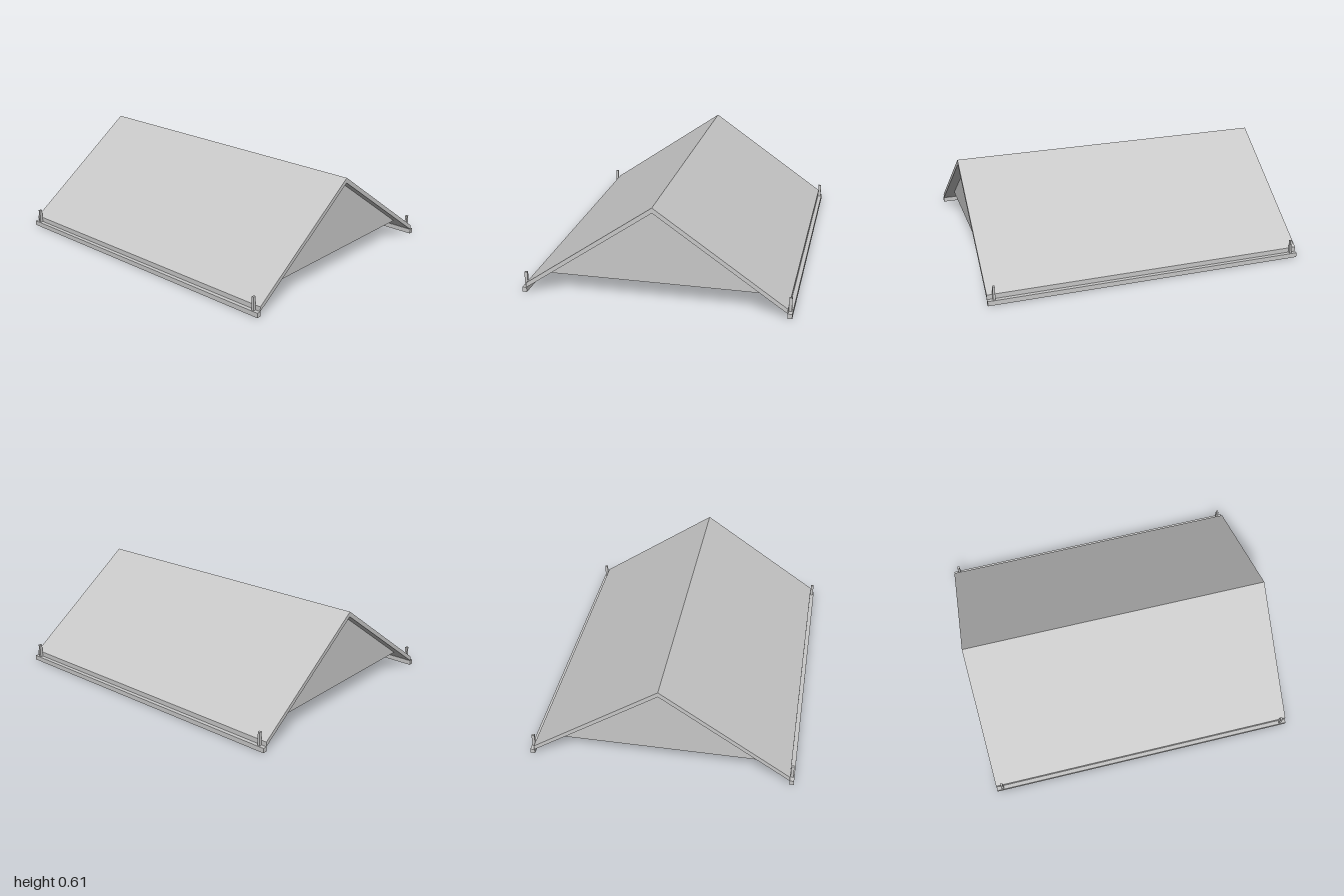
import * as THREE from 'three';

export function createModel() {
  const model = new THREE.Group();
  const grey = new THREE.MeshStandardMaterial({ color: 0xc8c8c8, side: THREE.DoubleSide });
  grey.name = 'lightGrey';

  const add = (name, geometry, x = 0, y = 0, z = 0) => {
    const mesh = new THREE.Mesh(geometry, grey);
    mesh.name = name;
    mesh.position.set(x, y, z);
    model.add(mesh);
    return mesh;
  };
  const polygon = (points) => new THREE.Shape(points.map(([z, y]) => new THREE.Vector2(z, y)));

  // Pitched roof slab: a chevron section swept along x
  const eave = 0.79;
  const section = polygon([
    [-eave, 0.03], [0, 0.578], [eave, 0.03],
    [eave, 0.06], [0, 0.61], [-eave, 0.06],
  ]);
  const roof = new THREE.ExtrudeGeometry(section, { depth: 2, bevelEnabled: false });
  roof.translate(0, 0, -1).rotateY(Math.PI / 2);
  add('roof', roof);

  // Thin gable walls set in from each end
  const gable = new THREE.ShapeGeometry(polygon([[-0.667, 0.115], [0.667, 0.115], [0, 0.578]]));
  gable.rotateY(Math.PI / 2);
  for (const side of [-1, 1]) add(side > 0 ? 'leftGable' : 'rightGable', gable, side * 0.94);

  // Eave beams with a short post near each end
  const beam = new THREE.BoxGeometry(2, 0.03, 0.028);
  const post = new THREE.BoxGeometry(0.014, 0.088, 0.018);
  for (const face of [-1, 1]) {
    const end = face > 0 ? 'front' : 'back';
    add(end + 'EaveBeam', beam, 0, 0.015, face * 0.801);
    for (const side of [-1, 1]) {
      add(end + (side > 0 ? 'LeftPost' : 'RightPost'), post, side * 0.96, 0.072, face * 0.8);
    }
  }
  return model;
}
